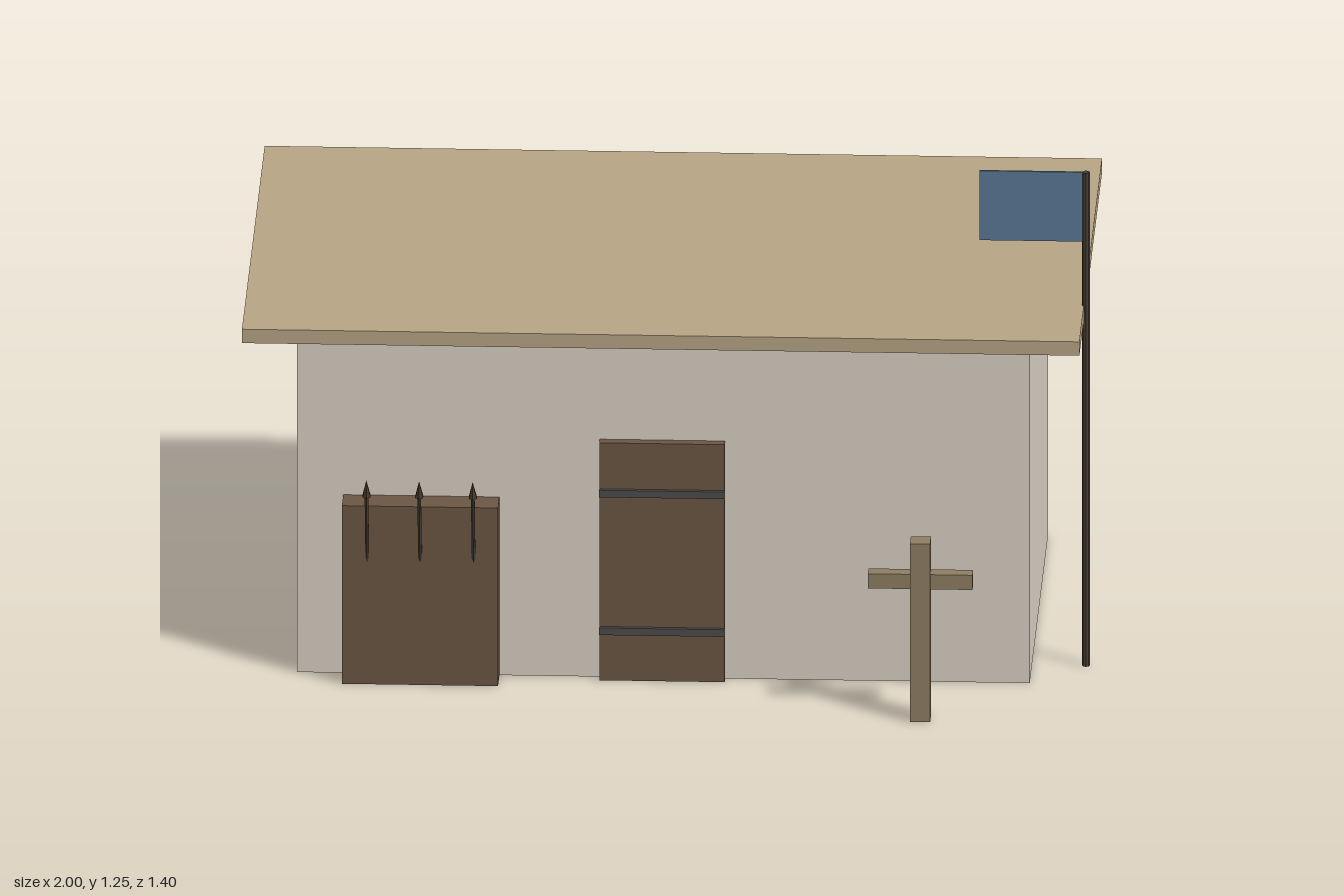
import * as THREE from 'three';

const paint = (color) => new THREE.MeshStandardMaterial({ color, flatShading: true });

export function createModel() {
  const model = new THREE.Group();
  const plaster = paint(0xd8d0c4), thatch = paint(0xb8a585), wood = paint(0x6b5744);
  const paleWood = paint(0x8f7f63), darkWood = paint(0x4a4035);
  const iron = paint(0x4c4c4c), cloth = paint(0x5a7896);

  const add = (name, geometry, material, parent = model) => {
    const mesh = new THREE.Mesh(geometry, material);
    mesh.name = name;
    parent.add(mesh);
    return mesh;
  };
  // Box given by its lower and upper limits on each axis
  const box = (name, material, [x0, x1], [y0, y1], [z0, z1]) => {
    const mesh = add(name, new THREE.BoxGeometry(x1 - x0, y1 - y0, z1 - z0), material);
    mesh.position.set((x0 + x1) / 2, (y0 + y1) / 2, (z0 + z1) / 2);
    return mesh;
  };
  const rod = (name, material, radius, x, [y0, y1], z) => {
    const mesh = add(name, new THREE.CylinderGeometry(radius, radius, y1 - y0, 8), material);
    mesh.position.set(x, (y0 + y1) / 2, z);
    return mesh;
  };

  // Building
  box('walls', plaster, [-0.875, 0.862], [0, 0.875], [-0.571, 0.425]);
  box('roof', thatch, [-1, 0.985], [0.875, 0.91], [-0.697, 0.548]);

  // Door with two iron straps
  box('door', wood, [-0.157, 0.14], [0, 0.6], [0.425, 0.45]);
  for (const y of [0.127, 0.475]) {
    box('doorStrap', iron, [-0.157, 0.14], [y - 0.009, y + 0.009], [0.445, 0.46]);
  }

  // Weapon rack with leaning spears
  box('weaponRack', wood, [-0.765, -0.395], [0, 0.45], [0.425, 0.5]);
  for (const x of [-0.705, -0.58, -0.453]) {
    const spear = new THREE.Group();
    spear.name = 'spear';
    const shaft = add('spearShaft', new THREE.CylinderGeometry(0.005, 0.005, 0.24, 6), darkWood, spear);
    shaft.position.y = -0.16;
    const head = add('spearHead', new THREE.ConeGeometry(0.011, 0.045, 6), darkWood, spear);
    head.position.y = -0.0225;
    spear.position.set(x, 0.534, 0.552);
    spear.rotation.x = 0.25;
    model.add(spear);
  }

  // Training post
  box('trainingPost', paleWood, [0.59, 0.638], [0, 0.45], [0.65, 0.7]);
  box('trainingPostArm', paleWood, [0.49, 0.738], [0.333, 0.37], [0.657, 0.693]);

  // Flag and pole
  rod('flagPole', darkWood, 0.0095, 0.99, [0, 1.247], 0.3);
  box('flag', cloth, [0.738, 0.985], [1.072, 1.247], [0.297, 0.303]);

  // Iron bars on the back wall
  for (const x of [-0.63, -0.257, 0.243, 0.616]) {
    rod('backBar', iron, 0.01, x, [0.65, 0.848], -0.577);
  }
  return model;
}
